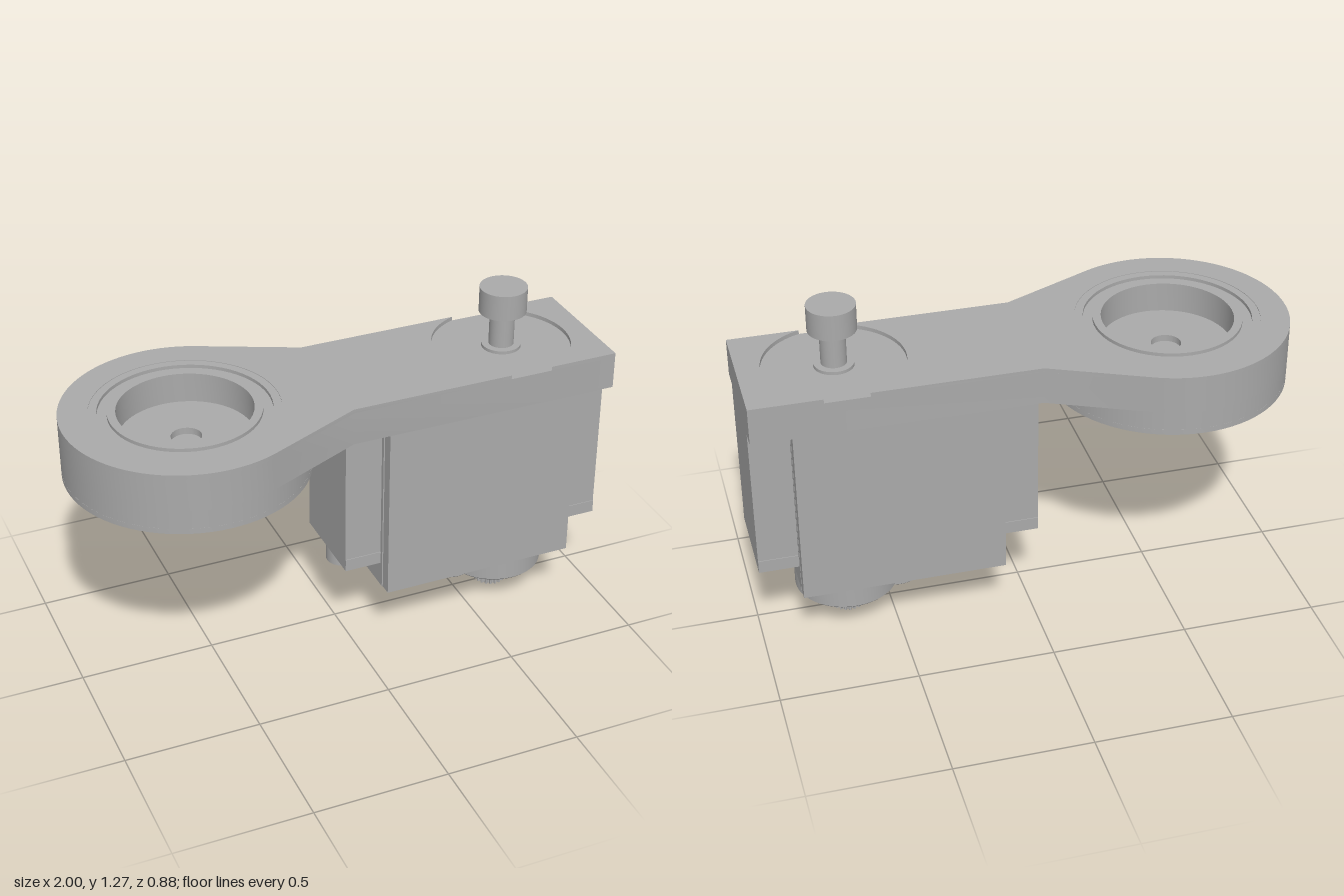
import * as THREE from 'three';
import { toCreasedNormals } from 'three/addons/utils/BufferGeometryUtils.js';

export function createModel() {
  const model = new THREE.Group();
  const grey = new THREE.MeshStandardMaterial({ color: 0xaaaaaa });
  grey.name = 'plain grey';

  const HUB = -0.56, SHAFT = 0.66, W = 0.242;

  const add = (name, geometry, x = 0, y = 0, z = 0) => {
    const mesh = new THREE.Mesh(geometry, grey);
    mesh.name = name;
    mesh.position.set(x, y, z);
    model.add(mesh);
    return mesh;
  };
  const box = (name, x0, x1, y0, y1, z0, z1) =>
    add(name, new THREE.BoxGeometry(x1 - x0, y1 - y0, z1 - z0), (x0 + x1) / 2, (y0 + y1) / 2, (z0 + z1) / 2);
  const cyl = (name, x, r, y0, y1) =>
    add(name, new THREE.CylinderGeometry(r, r, y1 - y0, 48), x, (y0 + y1) / 2, 0);
  // plan outline (x, z) raised between two heights
  const slab = (name, shape, y0, y1, x = 0) => {
    const g = new THREE.ExtrudeGeometry(shape, { depth: y1 - y0, bevelEnabled: false, curveSegments: 40 });
    g.rotateX(Math.PI / 2);
    return add(name, toCreasedNormals(g, 0.6), x, y1, 0);
  };
  const lathe = (name, points, x) =>
    add(name, toCreasedNormals(new THREE.LatheGeometry(points.map(p => new THREE.Vector2(...p)), 64), 0.5), x);
  const circle = (x, y, r) => new THREE.Path().absarc(x, y, r, 0, Math.PI * 2, false);

  // arm: round end tangent to a straight bar
  const dx = -0.03 - HUB;
  const tangent = Math.atan2(W, dx) + Math.acos(0.44 / Math.hypot(dx, W));
  const roundEnd = s => {
    s.lineTo(-0.03, W);
    s.absarc(HUB, 0, 0.44, tangent, Math.PI * 2 - tangent, false);
    s.lineTo(-0.03, -W);
    s.holes.push(circle(HUB, 0, 0.335));
    return s;
  };
  const lower = new THREE.Shape();
  lower.moveTo(-0.03, -W);
  lower.lineTo(1, -W);
  lower.lineTo(1, W);
  slab('armPlate', roundEnd(lower), 0.905, 1.03);

  // thin top layer, cut by the round recess under the screw
  const R = 0.255, a = Math.asin(W / R);
  const left = new THREE.Shape();
  left.moveTo(-0.03, -W);
  left.lineTo(SHAFT - R * Math.cos(a), -W);
  left.absarc(SHAFT, 0, R, Math.PI + a, Math.PI - a, true);
  slab('armTop', roundEnd(left), 1.03, 1.045);
  const right = new THREE.Shape();
  right.moveTo(1, -W);
  right.lineTo(1, W);
  right.absarc(SHAFT, 0, R, a, -a, true);
  slab('armTopEnd', right, 1.03, 1.045);

  // bearing rings with open bore
  lathe('bearing', [
    [0.335, 0.9], [0.335, 1.043], [0.305, 1.043], [0.305, 1.03], [0.27, 1.03], [0.27, 1.043],
    [0.24, 1.043], [0.24, 0.93], [0.055, 0.93], [0.055, 0.9], [0, 0.9],
  ], HUB);

  // turning disc with a cross-shaped pocket below
  cyl('disc', HUB, 0.44, 0.835, 0.905);
  const cross = (w, reach, Type) => {
    const s = new Type();
    for (let i = 0; i < 4; i++) {
      const t = Math.PI / 4 + i * Math.PI / 2;
      const c = Math.cos(t), n = Math.sin(t);
      const start = [c * w + n * w, n * w - c * w];
      if (i === 0) s.moveTo(...start); else s.lineTo(...start);
      s.absarc(c * (reach - w), n * (reach - w), w, t - Math.PI / 2, t + Math.PI / 2, false);
    }
    s.closePath();
    return s;
  };
  const rim = new THREE.Shape().absarc(0, 0, 0.44, 0, Math.PI * 2, false);
  rim.holes.push(cross(0.075, 0.37, THREE.Path));
  slab('discUnderside', rim, 0.815, 0.835, HUB);

  // four-armed horn in the pocket
  const horn = cross(0.068, 0.363, THREE.Shape);
  for (let i = 0; i < 4; i++) {
    const t = Math.PI / 4 + i * Math.PI / 2;
    for (const d of [0.17, 0.235, 0.3]) horn.holes.push(circle(Math.cos(t) * d, Math.sin(t) * d, 0.015));
  }
  slab('horn', horn, 0.82, 0.835, HUB);
  lathe('hornBoss', [
    [0, 0.8], [0.03, 0.8], [0.03, 0.77], [0.058, 0.77], [0.058, 0.745], [0.1, 0.745], [0.105, 0.75], [0.105, 0.835],
  ], HUB);

  // motor housing between two side walls
  box('motorBody', 0.11, 0.855, 0.225, 0.905, -0.188, 0.188);
  for (const s of [-1, 1]) {
    const z = [s * 0.197, s * W].sort((p, q) => p - q);
    box('sideWall', 0.11, 0.855, 0.23, 0.905, ...z);
  }

  // end posts, mounting tabs and their screws
  for (const [x0, x1, screwX] of [[-0.03, 0.11, 0.03], [0.855, 1, 0.93]]) {
    box('endPost', x0, x1, 0.37, 0.905, -0.172, 0.172);
    box('mountingTab', x0, x1, 0.322, 0.37, -0.175, 0.175);
    cyl('tabScrew', screwX, 0.06, 0.26, 0.322);
  }

  // gear cover, smaller bump and output shaft
  lathe('gearCover', [[0, 0.108], [0.182, 0.108], [0.19, 0.116], [0.19, 0.225]], SHAFT);
  lathe('gearBump', [
    [0, 0.14], [0.03, 0.14], [0.03, 0.108], [0.095, 0.108], [0.1, 0.113], [0.1, 0.225],
  ], 0.475);
  cyl('shaftCollar', SHAFT, 0.088, 0.098, 0.11);
  cyl('shaftNeck', SHAFT, 0.055, 0.07, 0.1);
  const spline = new THREE.Shape();
  const teeth = 20;
  for (let i = 0; i < teeth * 4; i++) {
    const t = (i / (teeth * 4)) * Math.PI * 2;
    const r = i % 4 < 2 ? 0.061 : 0.052;
    if (i === 0) spline.moveTo(r, 0); else spline.lineTo(r * Math.cos(t), r * Math.sin(t));
  }
  spline.holes.push(circle(0, 0, 0.028));
  slab('splinedShaft', spline, 0, 0.085, SHAFT);

  // top screw
  cyl('screwCollar', SHAFT, 0.072, 1.03, 1.042);
  cyl('screwShank', SHAFT, 0.046, 1.03, 1.175);
  cyl('screwHead', SHAFT, 0.087, 1.173, 1.27);

  return model;
}
